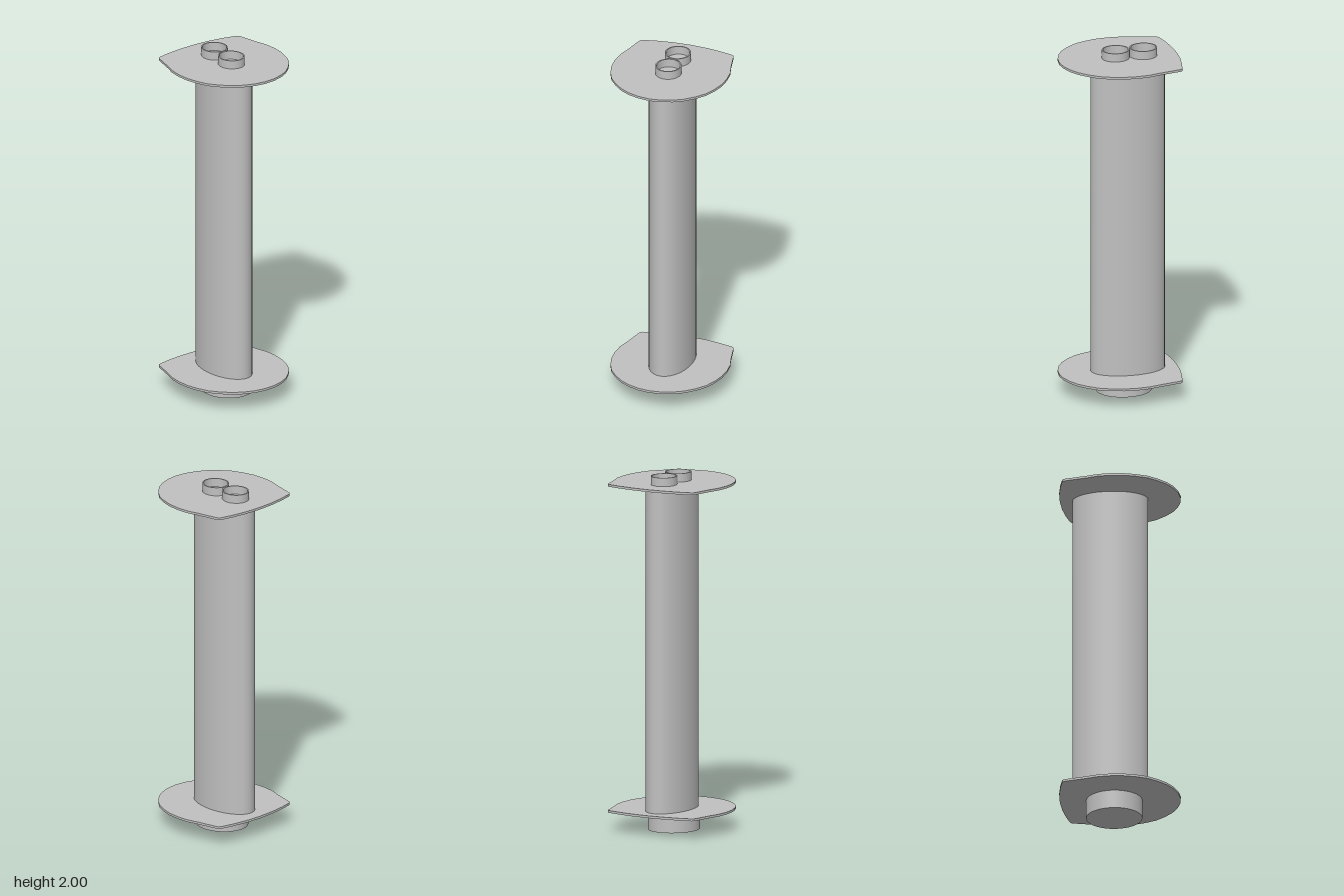
import * as THREE from 'three';
import { toCreasedNormals } from 'three/addons/utils/BufferGeometryUtils.js';

const metal = new THREE.MeshStandardMaterial({ color: 0xc0c0c0 });
metal.name = 'plain grey';

// Half of the plate outline as (x, z), from front to back
const halfOutline = [
  [0, 0.335], [0.066, 0.327], [0.129, 0.306], [0.184, 0.274], [0.234, 0.228],
  [0.277, 0.175], [0.304, 0.114], [0.323, 0.045], [0.329, -0.028], [0.323, -0.1],
  [0.304, -0.166], [0.278, -0.28], [0.274, -0.292], [0.264, -0.301],
  [0.19, -0.318], [0.1, -0.331], [0, -0.336],
];

// Extrudes a plan shape upward, with plan y pointing to -z
function extrudeUp(shape, height) {
  const g = new THREE.ExtrudeGeometry(shape, { depth: height, bevelEnabled: false, curveSegments: 40 });
  g.rotateX(-Math.PI / 2);
  return toCreasedNormals(g, 0.6);
}

function addMesh(group, name, geometry, y, z) {
  const mesh = new THREE.Mesh(geometry, metal);
  mesh.name = name;
  mesh.position.set(0, y, z);
  group.add(mesh);
}

// Upright elliptical cylinder standing on its base
function ellipticalColumn(rx, rz, height) {
  return new THREE.CylinderGeometry(1, 1, height, 40).scale(rx, 1, rz).translate(0, height / 2, 0);
}

export function createModel() {
  const group = new THREE.Group();
  group.name = 'flangedColumn';

  // Foot and main column
  addMesh(group, 'foot', ellipticalColumn(0.14, 0.156, 0.108), 0, -0.034);
  addMesh(group, 'column', ellipticalColumn(0.12, 0.21, 1.83), 0.115, -0.056);

  // End plates
  const mirrored = halfOutline.slice(1, -1).reverse().map(([x, z]) => [-x, z]);
  const outline = [...halfOutline, ...mirrored].map(([x, z]) => new THREE.Vector2(x, -z));
  const plate = extrudeUp(new THREE.Shape(outline), 0.013);
  addMesh(group, 'bottomPlate', plate, 0.106, 0);
  addMesh(group, 'topPlate', plate, 1.939, 0);

  // Two hollow collars on the top plate
  const ring = new THREE.Shape().absellipse(0, 0, 0.072, 0.077, 0, Math.PI * 2);
  ring.holes.push(new THREE.Path().absellipse(0, 0, 0.065, 0.07, 0, Math.PI * 2));
  const collar = extrudeUp(ring, 0.05);
  addMesh(group, 'frontCollar', collar, 1.95, 0.013);
  addMesh(group, 'backCollar', collar, 1.95, -0.145);

  return group;
}
